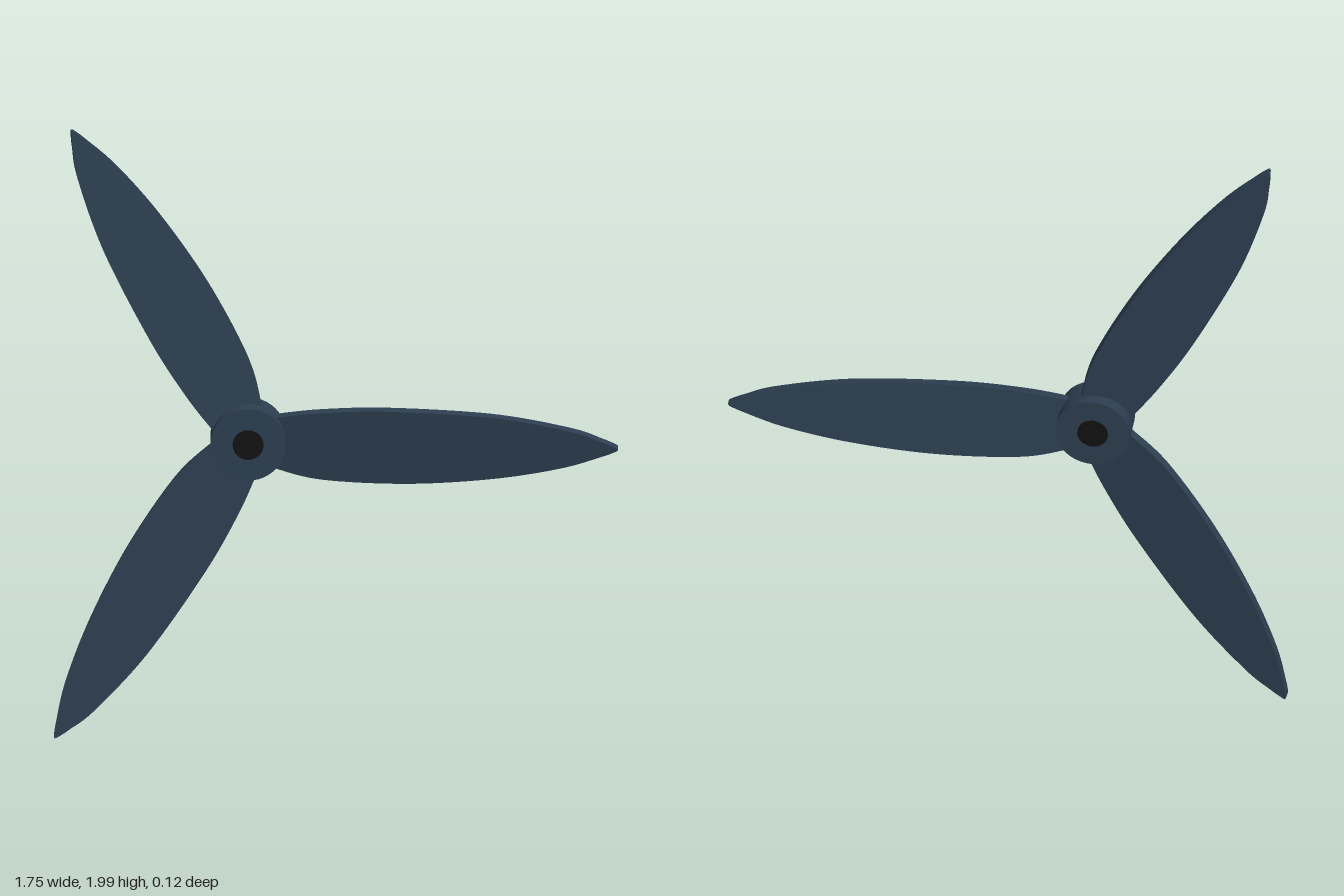
import * as THREE from 'three';

const HUB_X = -0.274, HUB_Y = 0.985;
const BLADE_DEPTH = 0.03, PITCH = 0.12;

// Blade outline along +x, with a swept, slightly rounded tip
function bladeShape() {
  const pts = (list) => list.map(([x, y]) => new THREE.Vector2(x, y));
  const shape = new THREE.Shape();
  shape.moveTo(0.04, -0.075);
  shape.splineThru(pts([[0.08, -0.093], [0.23, -0.133], [0.495, -0.147], [0.76, -0.13], [0.97, -0.094], [1.1, -0.053], [1.145, -0.035]]));
  shape.lineTo(1.15, -0.029);
  shape.lineTo(1.143, -0.024);
  shape.splineThru(pts([[1.1, -0.004], [1, 0.033], [0.76, 0.08], [0.44, 0.101], [0.23, 0.096], [0.089, 0.08], [0.04, 0.07]]));
  shape.closePath();
  return shape;
}

export function createModel() {
  const model = new THREE.Group();
  const paint = new THREE.MeshStandardMaterial({ color: 0x2c3e50 });
  const black = new THREE.MeshStandardMaterial({ color: 0x111111 });

  const propeller = new THREE.Group();
  propeller.name = 'propeller';
  propeller.position.set(HUB_X, HUB_Y, 0);
  model.add(propeller);

  // Three pitched blades around the hub
  const bladeGeometry = new THREE.ExtrudeGeometry(bladeShape(), { depth: BLADE_DEPTH, bevelEnabled: false, curveSegments: 40 });
  bladeGeometry.translate(0, 0, -BLADE_DEPTH / 2);
  bladeGeometry.rotateX(PITCH);
  for (let i = 0; i < 3; i++) {
    const blade = new THREE.Mesh(bladeGeometry, paint);
    blade.name = `blade${i + 1}`;
    blade.rotation.z = (i * Math.PI * 2) / 3;
    propeller.add(blade);
  }

  // Hub and the dark shaft through it, both along z
  const addCylinder = (name, radius, length, material) => {
    const geometry = new THREE.CylinderGeometry(radius, radius, length, 48).rotateX(Math.PI / 2);
    const mesh = new THREE.Mesh(geometry, material);
    mesh.name = name;
    propeller.add(mesh);
  };
  addCylinder('hub', 0.117, 0.116, paint);
  addCylinder('shaft', 0.048, 0.122, black);

  return model;
}
